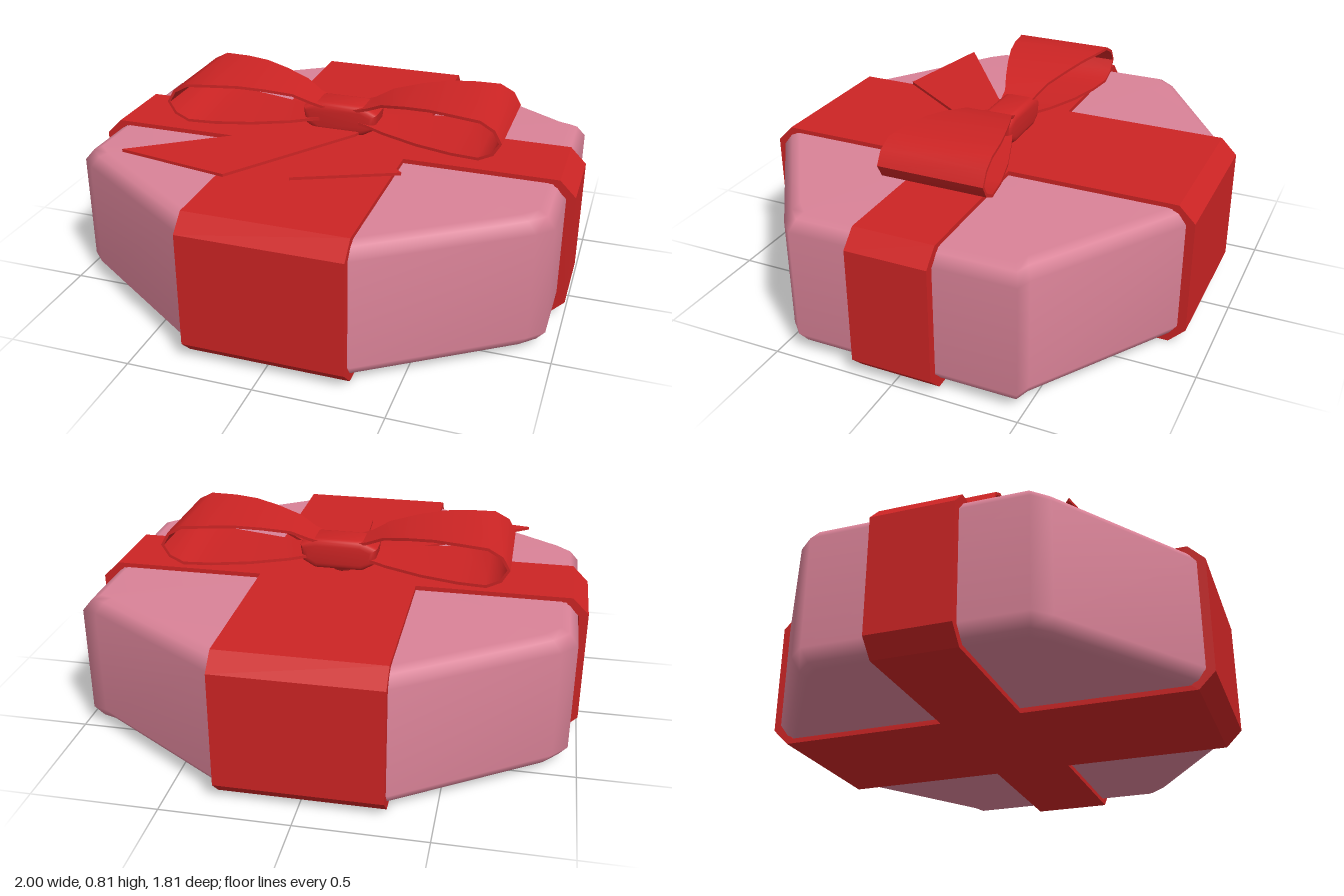
import * as THREE from 'three';
import { toCreasedNormals } from 'three/addons/utils/BufferGeometryUtils.js';

const pink = new THREE.MeshStandardMaterial({ color: 0xd98297 });
pink.name = 'pink paper';
const red = new THREE.MeshStandardMaterial({ color: 0xcc2424 });
red.name = 'red ribbon';

function mesh(name, geometry, material) {
  const m = new THREE.Mesh(geometry, material);
  m.name = name;
  return m;
}

function indexed(pos, idx) {
  const g = new THREE.BufferGeometry();
  g.setAttribute('position', new THREE.Float32BufferAttribute(pos, 3));
  g.setIndex(idx);
  g.computeVertexNormals();
  return g;
}

const polygon = (pts) => new THREE.Shape(pts.map(([x, y]) => new THREE.Vector2(x, y)));

// Eight-sided box with softened rims, stacked from four rings and two caps
function boxGeometry() {
  const foot = [[0.96, 0.42], [0.96, -0.48], [0.9, -0.5], [0.33, -0.87], [0.26, -0.875],
    [-0.26, -0.875], [-0.33, -0.87], [-0.9, -0.49], [-0.96, -0.42],
    [-0.96, 0.42], [-0.9, 0.48], [-0.33, 0.87], [-0.26, 0.875],
    [0.26, 0.875], [0.33, 0.87], [0.9, 0.48]];
  const levels = [[0.02, 0.93], [0.035, 0.965], [0.08, 1], [0.52, 1], [0.562, 0.965], [0.577, 0.93]];
  const n = foot.length, pos = [], idx = [];
  for (const [y, s] of levels) for (const [x, z] of foot) pos.push(x * s, y, z * s);
  const bottom = n * levels.length, top = bottom + 1;
  pos.push(0, levels[0][0], 0, 0, levels.at(-1)[0], 0);
  const last = n * (levels.length - 1);
  for (let i = 0; i < n; i++) {
    const j = (i + 1) % n;
    for (let l = 0; l < levels.length - 1; l++) {
      const a = l * n, b = a + n;
      idx.push(a + i, a + j, b + j, a + i, b + j, b + i);
    }
    idx.push(top, last + i, last + j, bottom, j, i);
  }
  return indexed(pos, idx);
}

// Ribbon ring wrapped round the box, with cut corners
function wrapGeometry(half, width) {
  const ring = (w, y0, y1, c) => [[w, y0 + c], [w, y1 - c], [w - c, y1], [c - w, y1],
    [-w, y1 - c], [-w, y0 + c], [c - w, y0], [w - c, y0]];
  const shape = polygon(ring(half, 0, 0.595, 0.065));
  shape.holes.push(polygon(ring(half - 0.036, 0.02, 0.575, 0.055)));
  const g = new THREE.ExtrudeGeometry(shape, { depth: width, bevelEnabled: false });
  return g.translate(0, 0, -width / 2);
}

// Bow loop: a thin band following a side profile, widening away from the knot
function loopGeometry(side) {
  let path = [[0.06, 0.715], [0.12, 0.733], [0.19, 0.768], [0.3, 0.79], [0.4, 0.803], [0.5, 0.804],
    [0.61, 0.8], [0.665, 0.77], [0.693, 0.722], [0.665, 0.675], [0.61, 0.647],
    [0.5, 0.645], [0.35, 0.646], [0.2, 0.652], [0.12, 0.66], [0.06, 0.668]];
  if (side < 0) path = path.map(([x, y]) => [-x, y]).reverse();
  const halfWidth = (x) => {
    const t = THREE.MathUtils.clamp((Math.abs(x) - 0.1) / 0.6, 0, 1);
    return 0.062 + 0.15 * Math.sin(t * Math.PI / 2);
  };
  const pos = [], idx = [], t = 0.006;
  path.forEach(([x, y], i) => {
    const p = path[Math.max(i - 1, 0)], q = path[Math.min(i + 1, path.length - 1)];
    const len = Math.hypot(q[0] - p[0], q[1] - p[1]);
    const nx = -(q[1] - p[1]) / len * t, ny = (q[0] - p[0]) / len * t;
    const w = halfWidth(x), z = -0.025;
    pos.push(x + nx, y + ny, z - w, x + nx, y + ny, z + w,
      x - nx, y - ny, z + w, x - nx, y - ny, z - w);
    if (i === 0) return;
    const a = (i - 1) * 4, b = i * 4;
    for (let k = 0; k < 4; k++) {
      const m = (k + 1) % 4;
      idx.push(a + k, a + m, b + m, a + k, b + m, b + k);
    }
  });
  return toCreasedNormals(indexed(pos, idx), 0.7).translate(0.01, 0, 0);
}

// Flat ribbon tail lying on the lid, from x and z corners
function tailGeometry(corners, y) {
  const shape = polygon(corners.map(([x, z]) => [x, -z]));
  return new THREE.ExtrudeGeometry(shape, { depth: 0.012, bevelEnabled: false })
    .rotateX(-Math.PI / 2).translate(0, y, 0);
}

// Rounded knot
function knotGeometry() {
  const shape = polygon([[-0.08, 0.635], [0.1, 0.635], [0.135, 0.655], [0.14, 0.69],
    [0.1, 0.708], [-0.08, 0.708], [-0.12, 0.69], [-0.115, 0.655]]);
  const g = new THREE.ExtrudeGeometry(shape, {
    depth: 0.086, bevelThickness: 0.027, bevelSize: 0.027, bevelSegments: 4,
  });
  return toCreasedNormals(g.translate(0, 0, -0.073), 0.7);
}

export function createModel() {
  const group = new THREE.Group();
  group.name = 'giftBox';
  group.add(mesh('box', boxGeometry(), pink));
  group.add(mesh('sideWrap', wrapGeometry(1, 0.325), red));
  group.add(mesh('frontWrap', wrapGeometry(0.905, 0.64).rotateY(Math.PI / 2), red));

  const bow = new THREE.Group();
  bow.name = 'bow';
  bow.add(mesh('leftLoop', loopGeometry(1), red));
  bow.add(mesh('rightLoop', loopGeometry(-1), red));
  bow.add(mesh('knot', knotGeometry(), red));
  bow.add(mesh('longTail', tailGeometry(
    [[-0.06, 0], [-0.74, 0.495], [-0.27, 0.58], [0.09, 0.06], [0.11, -0.02]], 0.617), red));
  bow.add(mesh('shortTail', tailGeometry(
    [[-0.06, 0], [-0.035, 0.495], [0.355, 0.32], [0.09, 0.05], [0.06, -0.02]], 0.6), red));
  // Small foot joining the knot to the lid
  const foot = new THREE.CylinderGeometry(0.07, 0.04, 0.045, 8);
  bow.add(mesh('knotFoot', foot.translate(0, 0.615, -0.03), red));
  group.add(bow);
  return group;
}
